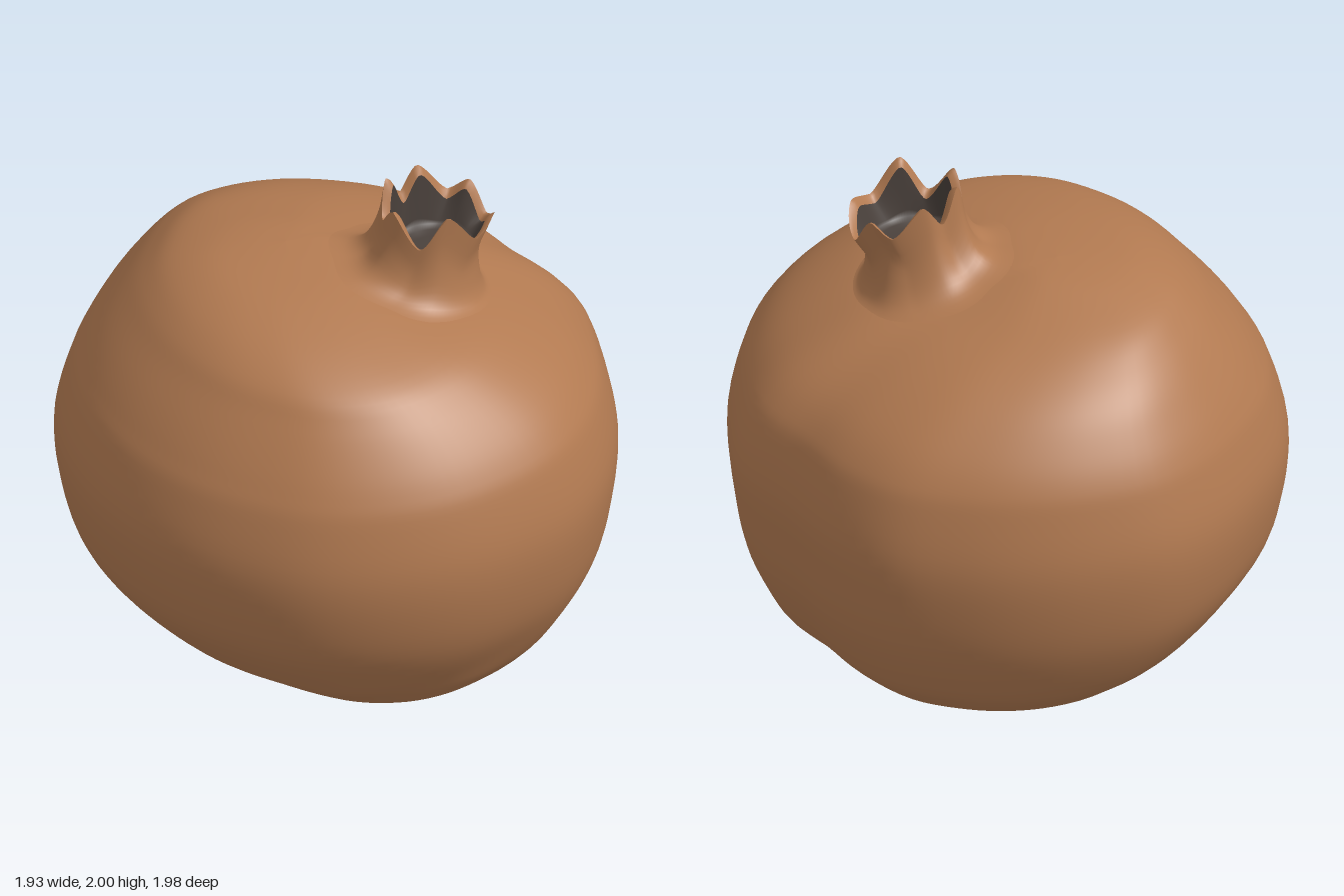
import * as THREE from 'three';

const TAU = Math.PI * 2;

// Closed-ring surface: fn(row, angle) gives a point; rows share their seam so normals stay smooth
function ringSurface(rows, cols, fn) {
  const pos = [], idx = [];
  for (let i = 0; i <= rows; i++)
    for (let j = 0; j < cols; j++) pos.push(...fn(i / rows, (j / cols) * TAU));
  for (let i = 0; i < rows; i++)
    for (let j = 0; j < cols; j++) {
      const k = (j + 1) % cols;
      const a = i * cols + j, b = i * cols + k, c = a + cols, d = b + cols;
      idx.push(a, c, b, b, c, d);
    }
  const g = new THREE.BufferGeometry();
  g.setAttribute('position', new THREE.Float32BufferAttribute(pos, 3));
  g.setIndex(idx);
  g.computeVertexNormals();
  return g;
}

// Smooth curves through a table of [height, xMin, xMax, zMin, zMax]
function extents(table) {
  const curve = (a, b) => new THREE.CatmullRomCurve3(
    table.map(r => new THREE.Vector3(r[a], r[b], r[0])), false, 'catmullrom', 0.5);
  const cx = curve(1, 2), cz = curve(3, 4);
  return t => {
    const p = cx.getPoint(t), q = cz.getPoint(t);
    return { h: p.z, x: (p.x + p.y) / 2, rx: (p.y - p.x) / 2, z: (q.x + q.y) / 2, rz: (q.y - q.x) / 2 };
  };
}

// Uneven outline of the fruit: radius against direction, from +x towards +z
const outline = new THREE.CatmullRomCurve3(
  [.965, .955, .967, .985, .995, .985, .983, .975, .967, .95, .948, .952,
    .965, .98, .99, .982, .994, 1.005, .985, .968, .96, .966, .94, .915]
    .map(r => new THREE.Vector3(r, 0, 0)), true, 'catmullrom', 0.5);

const bodyAt = extents([
  [0, .12, .12, .07, .07],
  [.015, -.03, .27, -.1, .22],
  [.05, -.2, .4, -.22, .34],
  [.1, -.33, .5, -.37, .47],
  [.2, -.46, .625, -.6, .63],
  [.3, -.6, .74, -.73, .735],
  [.4, -.735, .82, -.82, .81],
  [.6, -.89, .91, -.925, .925],
  [.8, -.95, .95, -.975, .98],
  [1, -.965, .965, -.985, .99],
  [1.2, -.915, .92, -.945, .945],
  [1.3, -.865, .865, -.91, .9],
  [1.4, -.8, .765, -.85, .83],
  [1.5, -.72, .61, -.77, .74],
  [1.58, -.65, .44, -.67, .64],
  [1.65, -.56, .22, -.54, .45],
  [1.7, -.44, .06, -.36, .22],
  [1.721, -.29, -.04, -.24, .02],
  [1.728, -.15, -.15, -.12, -.12],
]);

// Neck width from its flared foot to its rim; height is the fraction between body and rim
const neckAt = extents([
  [0, -.13, .53, -.25, .44],
  [.02, -.05, .497, -.185, .375],
  [.09, .015, .476, -.125, .338],
  [.27, .065, .461, -.08, .312],
  [.6, .1, .46, -.045, .295],
  [1, .115, .515, -.035, .302],
]);

// Crown teeth: [angle in degrees, height], alternating tips and notches
const teeth = [[-35, 1.91], [-10, 1.8], [33, 1.885], [68, 1.85], [100, 1.975], [130, 1.84], [165, 1.97],
  [194, 1.88], [222, 2], [245, 1.88], [268, 1.975], [300, 1.855], [325, 1.91]];
function rimHeight(a) {
  let d = (a * 360) / TAU;
  if (d > 325) d -= 360;
  const i = teeth.findIndex((t, n) => n < teeth.length - 1 && d <= teeth[n + 1][0]);
  const [a0, h0] = teeth[i], [a1, h1] = teeth[i + 1];
  const t = (d - a0) / (a1 - a0);
  return h0 + (h1 - h0) * (0.4 * t + 0.6 * t * t * (3 - 2 * t));
}

export function createModel() {
  const group = new THREE.Group();
  const skin = new THREE.MeshStandardMaterial({ color: 0xb27a51 });
  skin.name = 'brown skin';
  const dark = new THREE.MeshStandardMaterial({ color: 0x483f3a });
  dark.name = 'dark hollow';
  const add = (name, geometry, material) => {
    const m = new THREE.Mesh(geometry, material);
    m.name = name;
    group.add(m);
    return m;
  };

  // Lopsided round body with faint dents low on the front
  const body = add('fruitBody', ringSurface(80, 96, (v, a) => {
    const e = bodyAt(v), r = outline.getPoint(a / TAU).x;
    const low = Math.exp(-(((e.h - 0.33) / 0.15) ** 2)) * Math.max(0, Math.sin(a)) ** 2;
    const k = 1 + 0.004 * low * Math.sin(a * 9 + e.h * 22);
    return [e.x + e.rx * Math.cos(a) * r / 0.966 * k, e.h, e.z + e.rz * Math.sin(a) * r / 0.985 * k];
  }), skin);

  // Height of the body surface under a point
  const ray = new THREE.Raycaster();
  const down = new THREE.Vector3(0, -1, 0);
  const bodyHeight = (x, z) => {
    ray.set(new THREE.Vector3(x, 3, z), down);
    return ray.intersectObject(body)[0].point.y - 0.004;
  };

  // Flared neck growing out of the body into the toothed crown
  add('crownNeck', ringSurface(15, 96, (v, a) => {
    const e = neckAt(v);
    const x = e.x + e.rx * Math.cos(a), z = e.z + e.rz * Math.sin(a);
    const base = bodyHeight(x, z);
    return [x, base + (rimHeight(a) - base) * e.h, z];
  }), skin);

  const rim = neckAt(1);
  const rimPoint = (a, inset, drop) => [
    rim.x + (rim.rx - inset) * Math.cos(a), rimHeight(a) - drop, rim.z + (rim.rz - inset) * Math.sin(a)];

  // Thick lip along the teeth
  add('crownLip', ringSurface(2, 96, (v, a) => rimPoint(a, v * 0.028, v * v * 0.025)), skin);

  // Hollow inside of the crown, closing at a sunken floor
  add('crownHollow', ringSurface(12, 96, (v, a) => {
    const wall = Math.min(1, v / 0.7), close = Math.max(0, (v - 0.7) / 0.3);
    const p = rimPoint(a, 0.028 + 0.025 * wall, 0.025);
    const y = p[1] + (1.745 - p[1]) * wall;
    const cx = rim.x - 0.03 * wall;
    return [cx + (p[0] - rim.x) * (1 - close), y - 0.015 * close, rim.z + (p[2] - rim.z) * (1 - close)];
  }), dark);

  return group;
}
